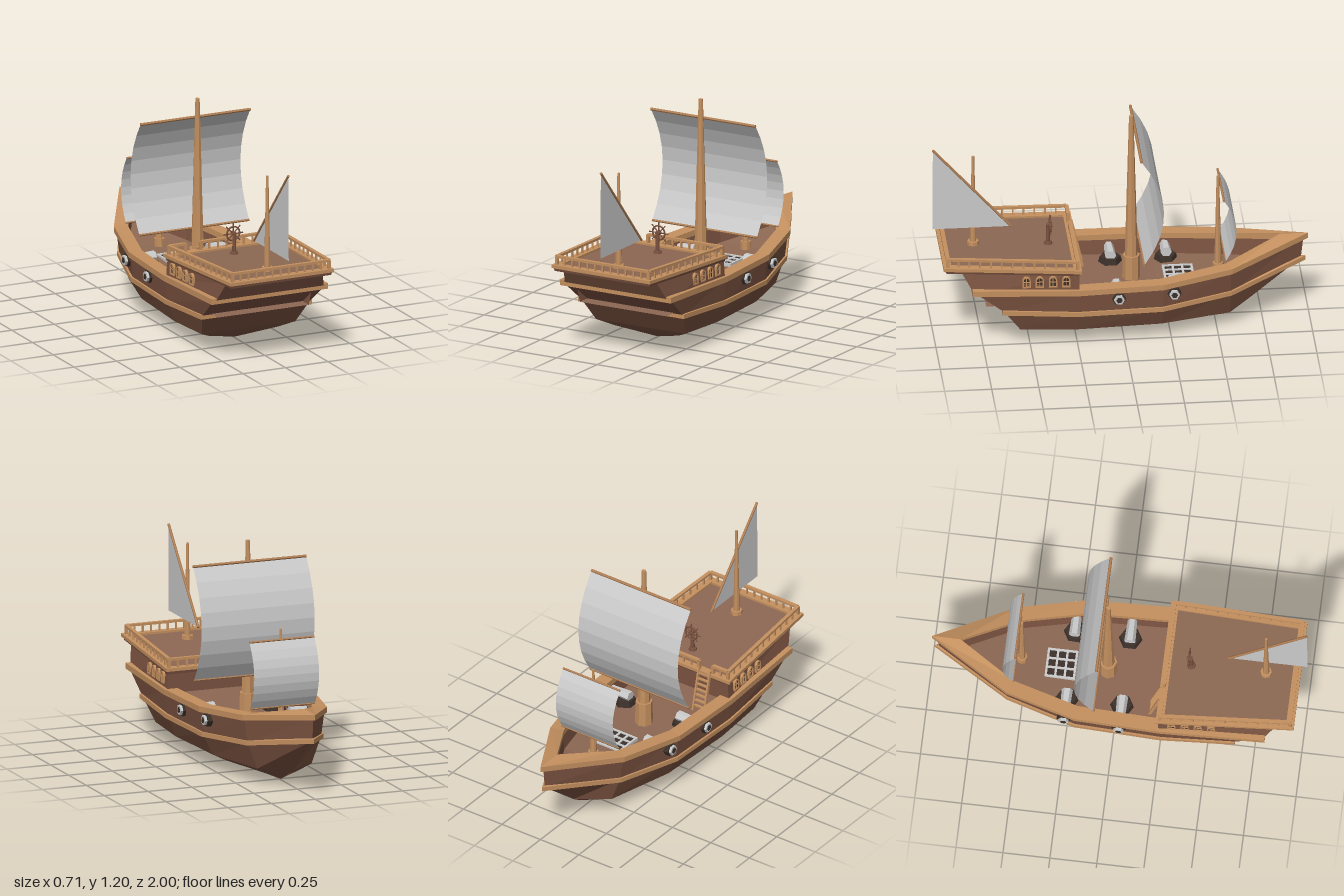
import * as THREE from 'three';

const mat = (color, side = THREE.FrontSide) =>
  new THREE.MeshStandardMaterial({ color, side, flatShading: true });
const WOOD = mat(0x7a5240), TRIM = mat(0xc4905f), DECK = mat(0x8c6853), DARK = mat(0x3c302a);
const GREY = mat(0xcccccc), SAIL = mat(0xcccccc, THREE.DoubleSide), SPAR = mat(0xb07f55);
const V = (x, y, z) => new THREE.Vector3(x, y, z);

// Flat-faced skin through rows of points
function loft(rows, closed = true) {
  const pos = [], n = rows[0].length;
  for (let i = 0; i < rows.length - 1; i++)
    for (let j = 0; j < (closed ? n : n - 1); j++) {
      const k = (j + 1) % n;
      const [a, b, c, d] = [rows[i][j], rows[i][k], rows[i + 1][k], rows[i + 1][j]];
      for (const p of [a, b, c, a, c, d]) pos.push(p.x, p.y, p.z);
    }
  const g = new THREE.BufferGeometry();
  g.setAttribute('position', new THREE.Float32BufferAttribute(pos, 3));
  g.computeVertexNormals();
  return g;
}

// Half outline of [z, half width, y] from stern to bow, and its mirrored loop
const side = (half, s) => half.map(([z, x, y]) => V(s * x, y, z));
function loop(half) {
  const other = side(half, -1).reverse();
  if (half[half.length - 1][1] === 0) other.shift();
  return [...side(half, 1), ...other];
}

// Mitred offset of a loop outwards by d, moved up by dy
function offset(pts, d, dy = 0) {
  const n = pts.length;
  const normal = (a, b) => new THREE.Vector2(a.z - b.z, b.x - a.x).normalize();
  return pts.map((p, i) => {
    const n1 = normal(pts[(i + n - 1) % n], p), n2 = normal(p, pts[(i + 1) % n]);
    const k = d / (1 + n1.dot(n2));
    return V(p.x + (n1.x + n2.x) * k, p.y + dy, p.z + (n1.y + n2.y) * k);
  });
}

// Rectangular moulding running round a loop
const band = (pts, inner, outer, y0, y1) => loft([
  offset(pts, inner, y0), offset(pts, outer, y0), offset(pts, outer, y1),
  offset(pts, inner, y1), offset(pts, inner, y0)]);

export function createModel() {
  const ship = new THREE.Group();
  const add = (name, geo, material, parent = ship) => {
    const m = new THREE.Mesh(geo, material);
    m.name = name;
    parent.add(m);
    return m;
  };
  const group = (name) => {
    const g = new THREE.Group();
    g.name = name;
    ship.add(g);
    return g;
  };
  const box = (name, w, h, d, x, y, z, material, parent) => {
    const m = add(name, new THREE.BoxGeometry(w, h, d), material, parent);
    m.position.set(x, y, z);
    return m;
  };
  // Round bar from a to b
  const rod = (name, a, b, r0, r1, material, parent, sides = 8) => {
    const m = add(name, new THREE.CylinderGeometry(r1, r0, a.distanceTo(b), sides), material, parent);
    m.position.copy(a).lerp(b, 0.5);
    m.quaternion.setFromUnitVectors(V(0, 1, 0), b.clone().sub(a).normalize());
    return m;
  };
  // Square bar from a to b
  const beam = (name, a, b, w, h, material, parent) => {
    const m = box(name, w, h, a.distanceTo(b), 0, 0, 0, material, parent);
    m.position.copy(a).lerp(b, 0.5);
    m.lookAt(b);
    return m;
  };

  // Hull: keel, bilge, chine, strake and sheer lines, then the inner bulwark
  const keel = [[.4, 0, .01], [.25, 0, .005], [-.2, 0, 0], [-.52, 0, .005], [-.63, 0, .05]];
  const bilge = [[.5, .2, .065], [.25, .2, .055], [-.2, .18, .05], [-.54, .1, .05], [-.67, 0, .075]];
  const chine = [[.555, .275, .1], [.25, .285, .09], [-.2, .26, .09], [-.57, .155, .085], [-.7, 0, .095]];
  const strake = [[.64, .315, .225], [.25, .33, .205], [-.2, .312, .205], [-.57, .21, .23], [-.96, 0, .31]];
  const sheer = [[.8, .33, .355], [.25, .34, .337], [-.2, .325, .343], [-.57, .23, .37], [-.975, 0, .442]];
  const sheerLoop = loop(sheer), inner = offset(sheerLoop, -.05);
  const deckY = [.24, .24, .24, .265, .32];
  const deckLoop = offset(sheerLoop, -.065).map((p, i) => V(p.x, deckY[i < 5 ? i : 8 - i], p.z));
  add('hull', loft([loop(keel), loop(bilge), loop(chine), loop(strake), sheerLoop, inner, deckLoop]), WOOD);
  const deckLeft = deckLoop.slice(0, 5);
  add('mainDeck', loft([deckLeft, deckLeft.map((p) => V(-p.x, p.y, p.z))], false), DECK);
  add('sheerRail', band(sheerLoop, -.063, .012, -.015, .016), TRIM);
  add('lowerStrake', band(loop(strake), -.012, .012, -.012, .013), TRIM);

  // Stern cabin with an overhanging deck
  const cabinLow = [[.8, .32, .34], [.245, .335, .33]], cabinTop = [[.87, .285, .465], [.245, .325, .445]];
  add('cabin', loft([loop(cabinLow), loop(cabinTop)]), WOOD);
  const poopHalf = [[.955, .297, .48], [.24, .337, .452]], poop = loop(poopHalf);
  const slabLow = offset(poop, -.005, -.02);
  const slab = group('poopDeck');
  add('poopEdge', loft([slabLow, poop]), WOOD, slab);
  add('poopUnderside', loft([[slabLow[3], slabLow[2]], [slabLow[0], slabLow[1]]], false), WOOD, slab);
  const floor = offset(poop, -.01, .004);
  add('poopPlanks', loft([[floor[0], floor[1]], [floor[3], floor[2]]], false), DECK, slab);
  add('poopTrim', band(poop, -.035, .008, -.003, .015), TRIM, slab);

  // Balustrade, with a gap for the ladder
  const railing = group('railing');
  const fence = (a, b, n) => {
    for (let i = 0; i <= n; i++) {
      const p = a.clone().lerp(b, i / n), w = i % n ? .009 : .016;
      box('baluster', w, .048, w, p.x, p.y + .024, p.z, TRIM, railing);
    }
    const up = V(0, .047, 0);
    beam('handrail', a.clone().add(up), b.clone().add(up), .02, .013, TRIM, railing);
  };
  const [sl, fl, fr, sr] = offset(poop, -.014, .012);
  fence(sl, fl, 12);
  fence(sr, fr, 12);
  fence(sl, sr, 12);
  fence(fl, V(-.135, fl.y, fl.z), 9);
  fence(V(-.225, fr.y, fr.z), fr, 2);

  // Ladder up to the stern deck
  const ladder = group('ladder');
  const foot = V(-.18, .24, .185), head = V(-.18, .48, .24);
  for (const s of [-.036, .036])
    beam('stile', foot.clone().add(V(s, 0, 0)), head.clone().add(V(s, 0, 0)), .01, .016, TRIM, ladder);
  for (let i = 1; i < 8; i++) {
    const p = foot.clone().lerp(head, i / 8);
    box('rung', .07, .008, .014, p.x, p.y, p.z, TRIM, ladder);
  }

  // Arched cabin windows
  const arch = (w, h, C) => {
    const s = new C();
    s.moveTo(-w, -h).lineTo(w, -h).lineTo(w, h - w).absarc(0, h - w, w, 0, Math.PI, false).lineTo(-w, -h);
    return s;
  };
  const frame = arch(.022, .032, THREE.Shape);
  frame.holes.push(arch(.015, .025, THREE.Path));
  for (const s of [-1, 1])
    for (const z of [.315, .385, .455, .525]) {
      const w = group('window');
      add('windowFrame', new THREE.ExtrudeGeometry(frame, { depth: .014, bevelEnabled: false, curveSegments: 4 }), TRIM, w);
      add('windowPane', new THREE.ExtrudeGeometry(arch(.016, .026, THREE.Shape), { depth: .008, bevelEnabled: false, curveSegments: 4 }), DARK, w);
      box('mullion', .004, .055, .006, 0, 0, .009, TRIM, w);
      box('transomBar', .034, .004, .006, 0, 0, .009, TRIM, w);
      w.position.set(s * (.326 - .046 * (z - .25)), .403, z);
      w.rotation.y = s * (Math.PI / 2 - .045);
    }

  // Masts with collars: z, base, top, radii, collar radius and height
  for (const [name, z, y0, y1, r0, r1, cr, ch] of [
    ['mainMast', -.06, .24, 1.2, .038, .012, .048, .135],
    ['foreMast', -.52, .255, .82, .02, .007, .03, .05],
    ['mizzenMast', .78, .47, 1, .018, .007, .032, .028]]) {
    const g = group(name);
    rod('mastPole', V(0, y0, z), V(0, y1, z), r0, r1, TRIM, g);
    rod('mastCollar', V(0, y0, z), V(0, y0 + ch, z), cr, cr * .95, TRIM, g);
  }

  // Square sails bellying towards the bow, with a spar at top and foot
  for (const [name, w, yTop, yLow, zTop, zLow, belly, r] of [
    ['mainSail', .323, 1.09, .475, -.085, -.1, .112, .008],
    ['foreSail', .185, .765, .405, -.535, -.545, .062, .006]]) {
    const g = group(name), rows = [];
    for (let i = 0; i <= 8; i++) {
      const t = i / 8, y = yLow + (yTop - yLow) * t;
      const z = zLow + (zTop - zLow) * t - belly * (1 - (2 * t - 1) ** 2);
      rows.push([V(-w, y, z), V(w, y, z)]);
    }
    add('sailCloth', loft(rows, false), SAIL, g);
    rod('yard', V(-w, yTop, zTop), V(w, yTop, zTop), r, r, SPAR, g, 6);
    rod('footSpar', V(-w, yLow, zLow), V(w, yLow, zLow), r * .8, r * .8, SPAR, g, 6);
  }

  // Triangular sail at the stern
  const lateen = group('lateenSail'), peak = V(.02, 1.055, .995), tack = V(.02, .585, .58);
  add('sailCloth', loft([[tack, V(.02, .585, .998)], [peak, peak]], false), SAIL, lateen);
  rod('lateenYard', tack, peak, .007, .007, SPAR, lateen, 6);

  // Steering wheel on a post
  const wheel = group('steeringWheel');
  wheel.position.set(0, .57, .37);
  rod('wheelPost', V(0, -.11, .012), V(0, .01, .012), .012, .009, WOOD, wheel);
  rod('wheelFoot', V(0, -.115, .012), V(0, -.095, .012), .025, .02, WOOD, wheel);
  rod('wheelHub', V(0, 0, -.012), V(0, 0, .02), .011, .011, WOOD, wheel);
  add('wheelRim', new THREE.TorusGeometry(.038, .005, 5, 16), WOOD, wheel);
  for (let i = 0; i < 4; i++) {
    const a = i * Math.PI / 4, p = V(Math.cos(a) * .058, Math.sin(a) * .058, 0);
    rod('spoke', p.clone().negate(), p, .0035, .0035, WOOD, wheel, 5);
  }

  // Cannons firing through the hull sides
  for (const s of [-1, 1])
    for (const [z, y, x] of [[.035, .288, .355], [-.26, .296, .338]]) {
      const g = group('cannon');
      rod('carriage', V(s * .19, .238, z), V(s * .19, .272, z), .064, .055, DARK, g, 6);
      rod('barrel', V(s * .155, y, z), V(s * x, y, z), .03, .022, GREY, g, 6);
      rod('gunPort', V(s * (x - .06), y, z), V(s * (x - .014), y, z), .037, .037, DARK, g, 6);
      rod('muzzle', V(s * (x - .016), y, z), V(s * x, y, z), .028, .028, GREY, g, 6);
      rod('bore', V(s * (x - .01), y, z), V(s * (x + .002), y, z), .017, .017, DARK, g, 6);
    }

  // Hatch grating on the main deck
  const hatch = group('hatchGrating');
  box('hatchWell', .16, .012, .16, 0, .25, -.31, DARK, hatch);
  for (let i = 0; i < 4; i++) {
    const o = -.075 + i * .05;
    box('gratingBar', .012, .018, .162, o, .253, -.31, GREY, hatch);
    box('gratingBar', .162, .018, .012, 0, .253, -.31 + o, GREY, hatch);
  }
  return ship;
}
